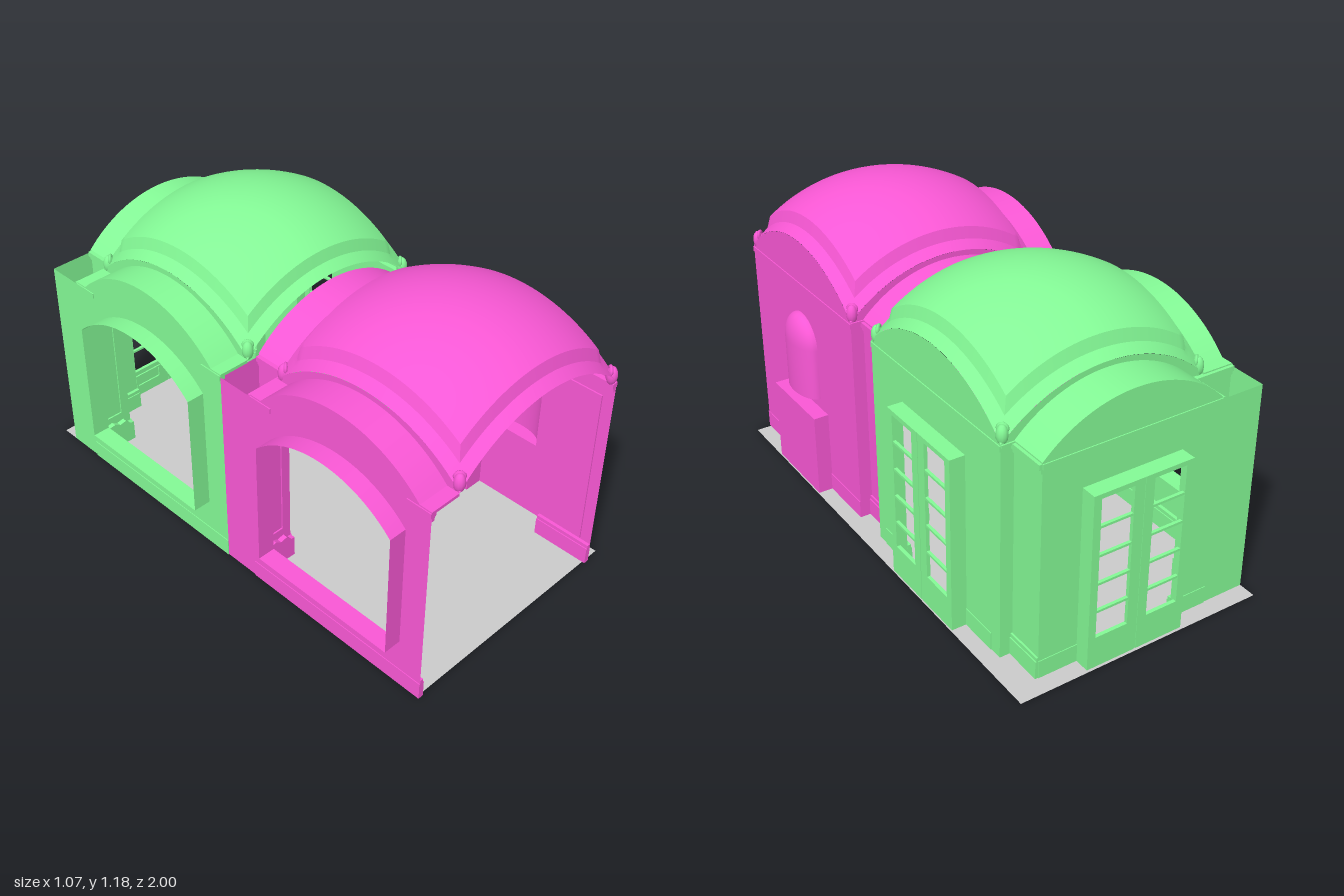
import * as THREE from 'three';
import { toCreasedNormals } from 'three/addons/utils/BufferGeometryUtils.js';

const HALF = 0.405;   // half side of the vaulted square
const SPAN = 0.355;   // half span of the side arches
const LEFT = -0.53;   // left wall plane, measured from the bay centre
const BACK = -0.555;  // back plane of a bay

const V = (x, y) => new THREE.Vector2(x, y);
const rect = (x0, y0, x1, y1) => [V(x0, y0), V(x1, y0), V(x1, y1), V(x0, y1)];

// circular segment from +half to -half
function arc(half, spring, rise, n = 32) {
  const r = (half * half + rise * rise) / (2 * rise), a = Math.asin(half / r);
  return Array.from({ length: n + 1 }, (_, i) => {
    const t = a - (2 * a * i) / n;
    return V(r * Math.sin(t), spring + rise - r + r * Math.cos(t));
  });
}

// flat shape with holes
function flat(points, holes = []) {
  const s = new THREE.Shape(points);
  holes.forEach(h => s.holes.push(new THREE.Path(h)));
  return s;
}
const slab = (shape, depth) => new THREE.ExtrudeGeometry(shape, { depth, bevelEnabled: false });

// strip that sweeps an outline straight along z
function ribbon(points, depth) {
  const pos = [], idx = [];
  points.forEach((p, i) => {
    pos.push(p.x, p.y, 0, p.x, p.y, depth);
    if (i) { const k = 2 * i; idx.push(k - 2, k, k - 1, k, k + 1, k - 1); }
  });
  const g = new THREE.BufferGeometry();
  g.setAttribute('position', new THREE.Float32BufferAttribute(pos, 3));
  g.setIndex(idx);
  return toCreasedNormals(g, 0.6);
}

// shallow sail vault: spherical rim with a raised field stepped inside it
function vaultGeometry() {
  const n = 36, c = [-HALF, -0.385, -0.365, -0.35];
  for (let i = 1; i < n; i++) c.push(-0.35 + (0.7 * i) / n);
  c.push(0.35, 0.365, 0.385, HALF);
  const g = new THREE.PlaneGeometry(1, 1, c.length - 1, c.length - 1).rotateX(-Math.PI / 2);
  const p = g.attributes.position;
  for (let i = 0; i < p.count; i++) {
    const x = c[i % c.length], z = c[Math.floor(i / c.length)];
    const lift = Math.max(Math.abs(x), Math.abs(z)) < 0.36 ? 0.035 : 0;
    p.setXYZ(i, x, 0.443 + lift + Math.sqrt(0.486 - x * x - z * z), z);
  }
  return toCreasedNormals(g, 0.6);
}

function createBay(color, name) {
  const bay = new THREE.Group();
  bay.name = name;
  const mat = new THREE.MeshStandardMaterial({ color, side: THREE.DoubleSide });
  const add = (partName, geo, parent = bay) => {
    const m = new THREE.Mesh(geo, mat);
    m.name = partName;
    parent.add(m);
    return m;
  };
  const box = (partName, w, h, d, x, y, z, parent) =>
    add(partName, new THREE.BoxGeometry(w, h, d).translate(x, y, z), parent);
  // drawn in x,y then turned so that x runs along z
  const side = (partName, geo, x) => {
    const m = add(partName, geo);
    m.rotation.y = -Math.PI / 2;
    m.position.x = x;
    return m;
  };
  const plan = (partName, points, h) => add(partName, ribbon(points, -h).rotateX(Math.PI / 2));

  // stepped cornice, or base board, along a wall
  const trimX = (x0, x1, z, base) => (base ? [[0, 0.07, 0.022], [0.07, 0.085, 0.014]] : [[0.8, 0.815, 0.012], [0.815, 0.835, 0.024]])
    .forEach(([a, b, d]) => box(base ? 'baseBoard' : 'cornice', x1 - x0, b - a, d, (x0 + x1) / 2, (a + b) / 2, z));
  const trimZ = (z0, z1, x, base) => (base ? [[0, 0.07, 0.022], [0.07, 0.085, 0.014]] : [[0.8, 0.815, 0.012], [0.815, 0.835, 0.024]])
    .forEach(([a, b, d]) => box(base ? 'baseBoard' : 'cornice', d, b - a, z1 - z0, x, (a + b) / 2, (z0 + z1) / 2));

  // vault, side arches and the faces between them
  add('vault', vaultGeometry());
  const sideArc = arc(SPAN, 0.84, 0.15), rim = arc(HALF, 0.84, 0.17);
  const crescent = new THREE.ShapeGeometry(flat([...rim, ...[...sideArc].reverse()]));
  add('backBarrelArch', ribbon(sideArc, HALF + BACK)).position.z = -HALF;
  add('backArchFace', crescent).position.z = -HALF;
  side('leftBarrelArch', ribbon(sideArc, -HALF - LEFT), -HALF);
  side('leftArchFace', crescent, -HALF);
  for (const s of [-1, 1]) {
    box('leftLedge', -HALF - LEFT, 0.012, 0.05, (LEFT - HALF) / 2, 0.834, s * 0.38);
    for (const t of [-1, 1]) {
      const leaf = add('capital', new THREE.SphereGeometry(0.026, 12, 8));
      leaf.scale.set(0.8, 1.4, 0.8);
      leaf.position.set(s * 0.39, 0.865, t * 0.39);
      const scroll = add('capitalScroll', new THREE.TorusGeometry(0.015, 0.007, 6, 12));
      scroll.position.set(s * 0.385, 0.885, t * 0.385);
      scroll.rotation.y = s * t * Math.PI / 4;
    }
  }

  // left wall with an arched window and its outward reveal
  const opening = [V(-0.305, 0.2), V(0.305, 0.2), ...arc(0.305, 0.705, 0.125, 24)];
  side('leftWall', new THREE.ShapeGeometry(flat(
    [V(-HALF, 0), V(HALF, 0), V(HALF, 0.84), ...sideArc, V(-HALF, 0.84)], [opening])), LEFT);
  side('windowReveal', ribbon([...opening, opening[0]], 0.07), LEFT);
  trimZ(-HALF, HALF, LEFT + 0.008, true);
  for (const s of [-1, 1]) trimZ(s * 0.355 - 0.05, s * 0.355 + 0.05, LEFT + 0.008);

  // hollow left pier with panel and chipped base
  plan('leftPier', [...rect(LEFT, BACK, -SPAN, -HALF), V(LEFT, BACK)], 0.83);
  trimX(LEFT, -SPAN, -HALF);
  trimZ(BACK, -HALF, -SPAN);
  add('pierPanel', slab(flat(rect(-0.503, 0.14, -0.388, 0.76), [rect(-0.493, 0.15, -0.398, 0.75)]), 0.006)).position.z = -HALF;
  const chipped = [V(LEFT, 0), V(-0.352, 0), V(-0.352, 0.085), V(-0.37, 0.088), V(-0.39, 0.11),
    V(-0.42, 0.104), V(-0.445, 0.118), V(-0.475, 0.114), V(-0.5, 0.134), V(LEFT, 0.118)];
  add('chippedBase', slab(flat(chipped), 0.02)).position.z = -HALF;
  trimZ(BACK, -HALF, -SPAN, true);

  // shallow right pier
  plan('rightPier', [V(HALF, -HALF), V(SPAN, -HALF), V(SPAN, BACK), V(HALF, BACK)].slice(0, name === 'backBay' ? 3 : 4), 0.84);
  trimZ(BACK, -HALF, SPAN);
  trimZ(BACK, -HALF, SPAN, true);
  box('rightLedge', HALF - SPAN, 0.01, 0.012, 0.38, 0.835, -HALF);

  // right wall cornice
  trimZ(-HALF, HALF, HALF - 0.008);

  // wall with a doorway-like notch, closed above by an arc
  const notched = (half, top, w, h, holes) => new THREE.ShapeGeometry(flat(
    [V(-half, 0), V(-w, 0), V(-w, h), V(w, h), V(w, 0), V(half, 0), ...top], holes), 32);
  const reveal = (w, h, d) => ribbon([V(-w, 0), V(-w, h), V(w, h), V(w, 0)], d);

  // glazed double door in a deep frame, projecting towards -z
  const door = () => {
    const g = new THREE.Group();
    g.name = 'doubleDoor';
    add('doorReveal', reveal(0.2, 0.693, -0.06), g);
    for (const s of [-1, 1]) {
      const xs = (a, b) => (s > 0 ? [a, b] : [-b, -a]);
      const [a, b] = xs(0.003, 0.2), [c, d] = xs(0.04, 0.17);
      add('doorLeaf', slab(flat(rect(a, 0, b, 0.693), [rect(c, 0.125, d, 0.675)]), 0.014), g).position.z = -0.06;
      for (let i = 0; i < 4; i++) box('glazingBar', 0.13, 0.009, 0.012, s * 0.105, 0.23 + i * 0.112, -0.053, g);
      add('doorPanel', slab(flat(rect(c, 0.045, d, 0.105), [rect(c + 0.008, 0.053, d - 0.008, 0.097)]), 0.006), g).position.z = -0.046;
      box('doorHandle', 0.008, 0.03, 0.02, s * 0.02, 0.36, -0.045, g);
    }
    box('meetingStile', 0.008, 0.693, 0.01, 0, 0.3465, -0.053, g);
    bay.add(g);
    return g;
  };

  if (name === 'backBay') {
    // back wall and right wall, each with a glazed door
    add('backWall', notched(SPAN, sideArc, 0.2, 0.693)).position.z = BACK;
    door().position.z = BACK;
    side('rightWall', notched(HALF, rim, 0.2, 0.693), HALF);
    const d = door();
    d.rotation.y = -Math.PI / 2;
    d.position.x = HALF;
    trimX(-SPAN, SPAN, BACK + 0.008);
    for (const s of [-1, 1]) {
      const lo = Math.min(s * 0.2, s * SPAN), hi = Math.max(s * 0.2, s * SPAN);
      trimX(lo, hi, BACK + 0.008, true);
      trimZ(lo, hi, HALF - 0.008, true);
    }
  } else {
    // right wall with a hearth recess below a round-headed niche
    const niche = [V(-0.115, 0.385), V(0.115, 0.385)];
    for (let i = 0; i <= 20; i++) {
      const t = (Math.PI * i) / 20;
      niche.push(V(0.115 * Math.cos(t), 0.595 + 0.115 * Math.sin(t)));
    }
    side('rightWall', notched(HALF, rim, 0.17, 0.34, [niche]), HALF);
    side('hearthReveal', reveal(0.17, 0.34, -0.06), HALF);
    side('hearthBack', new THREE.ShapeGeometry(flat(rect(-0.17, 0, 0.17, 0.34))), HALF + 0.06);
    const profile = [V(0, 0.385), V(0.115, 0.385)];
    for (let i = 0; i <= 10; i++) {
      const t = (Math.PI * i) / 20;
      profile.push(V(0.115 * Math.cos(t), 0.595 + 0.115 * Math.sin(t)));
    }
    const shell = add('niche', toCreasedNormals(new THREE.LatheGeometry(profile, 20, 0, Math.PI), 0.6));
    shell.scale.x = 0.5;
    shell.position.x = HALF;
    side('wallPanel', slab(flat([V(-0.36, 0.09), V(-0.36, 0.755), V(0.36, 0.755), V(0.36, 0.09), V(0.35, 0.09),
      V(0.35, 0.745), V(-0.35, 0.745), V(-0.35, 0.09)]), 0.006), HALF);
    for (const s of [-1, 1]) trimZ(s * 0.2875 - 0.1175, s * 0.2875 + 0.1175, HALF - 0.008, true);
  }
  return bay;
}

export function createModel() {
  const model = new THREE.Group();
  model.name = 'vaultedGallery';
  const floor = new THREE.Mesh(
    new THREE.PlaneGeometry(1, 1.98).rotateX(-Math.PI / 2).translate(0.03, 0, -0.01),
    new THREE.MeshStandardMaterial({ color: 0xcccccc, side: THREE.DoubleSide }));
  floor.name = 'floor';
  model.add(floor);
  const back = createBay(0x84fa96, 'backBay');
  back.position.set(0.06, 0, -0.375);
  const front = createBay(0xfa58d6, 'frontBay');
  front.position.set(0.06, 0, 0.585);
  model.add(back, front);
  return model;
}
